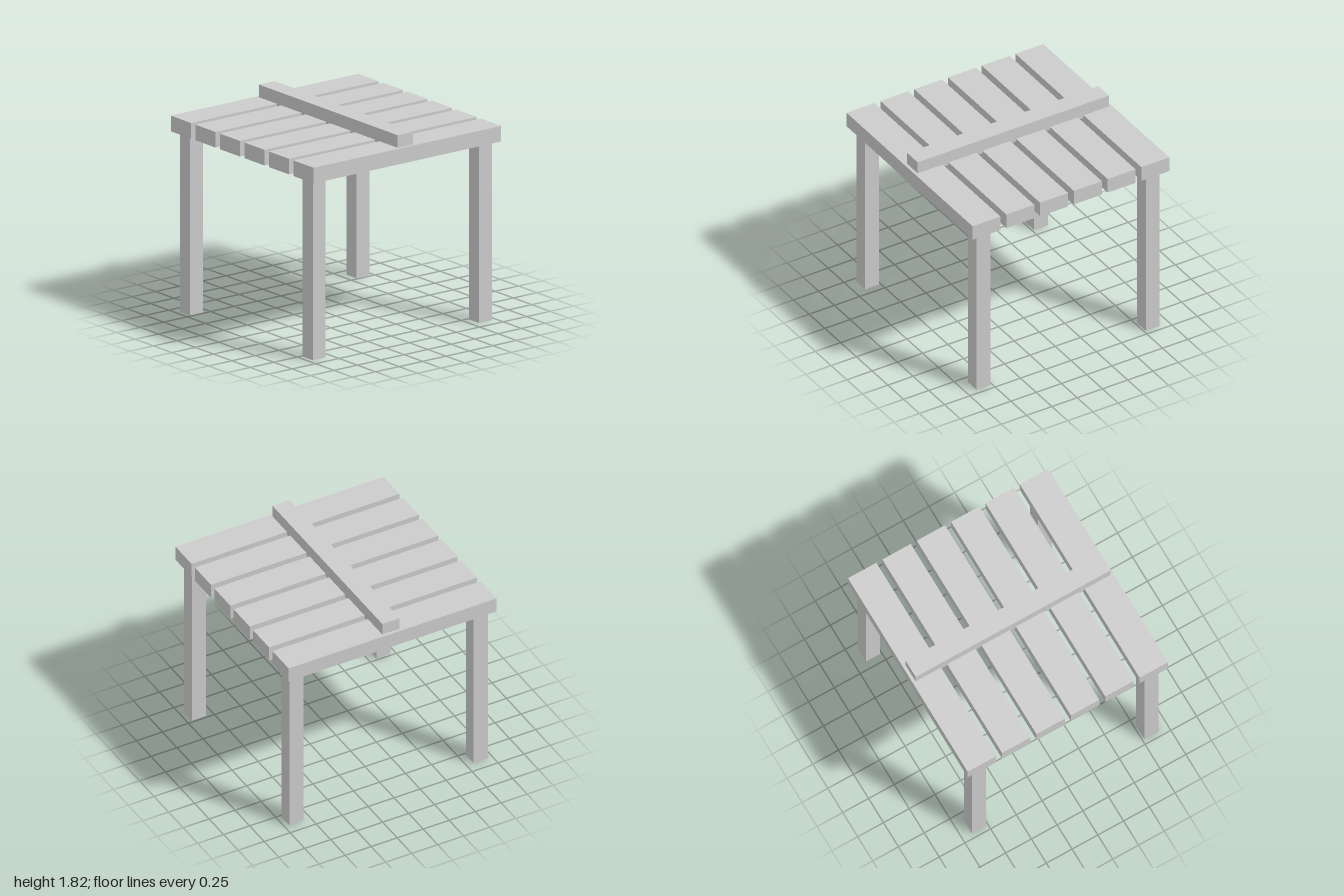
import * as THREE from 'three';

const material = new THREE.MeshStandardMaterial({ color: 0xcccccc, flatShading: true });

export function createModel() {
  const model = new THREE.Group();
  model.name = 'slattedTable';

  // A box standing on the given base height
  const addBox = (name, [w, h, d], [x, base, z]) => {
    const mesh = new THREE.Mesh(new THREE.BoxGeometry(w, h, d), material);
    mesh.name = name;
    mesh.position.set(x, base + h / 2, z);
    model.add(mesh);
  };

  const thickness = 0.137;
  const legHeight = 1.573;

  // Four square legs
  for (const [side, x] of [['Left', 0.887], ['Right', -0.887]]) {
    for (const [end, z] of [['front', 0.837], ['back', -0.837]]) {
      addBox(`${end}${side}Leg`, [thickness, legHeight, thickness], [x, 0, z]);
    }
  }

  // Six evenly spaced top planks
  const plankCount = 6;
  const plankPitch = 0.334;
  for (let i = 0; i < plankCount; i++) {
    const z = (i - (plankCount - 1) / 2) * plankPitch;
    addBox(`topPlank${i + 1}`, [2, thickness, 0.276], [0, legHeight, z]);
  }

  // Cross beam sunk slightly into the planks
  addBox('crossBeam', [0.166, thickness, 1.89], [0, 1.684, 0]);

  return model;
}
